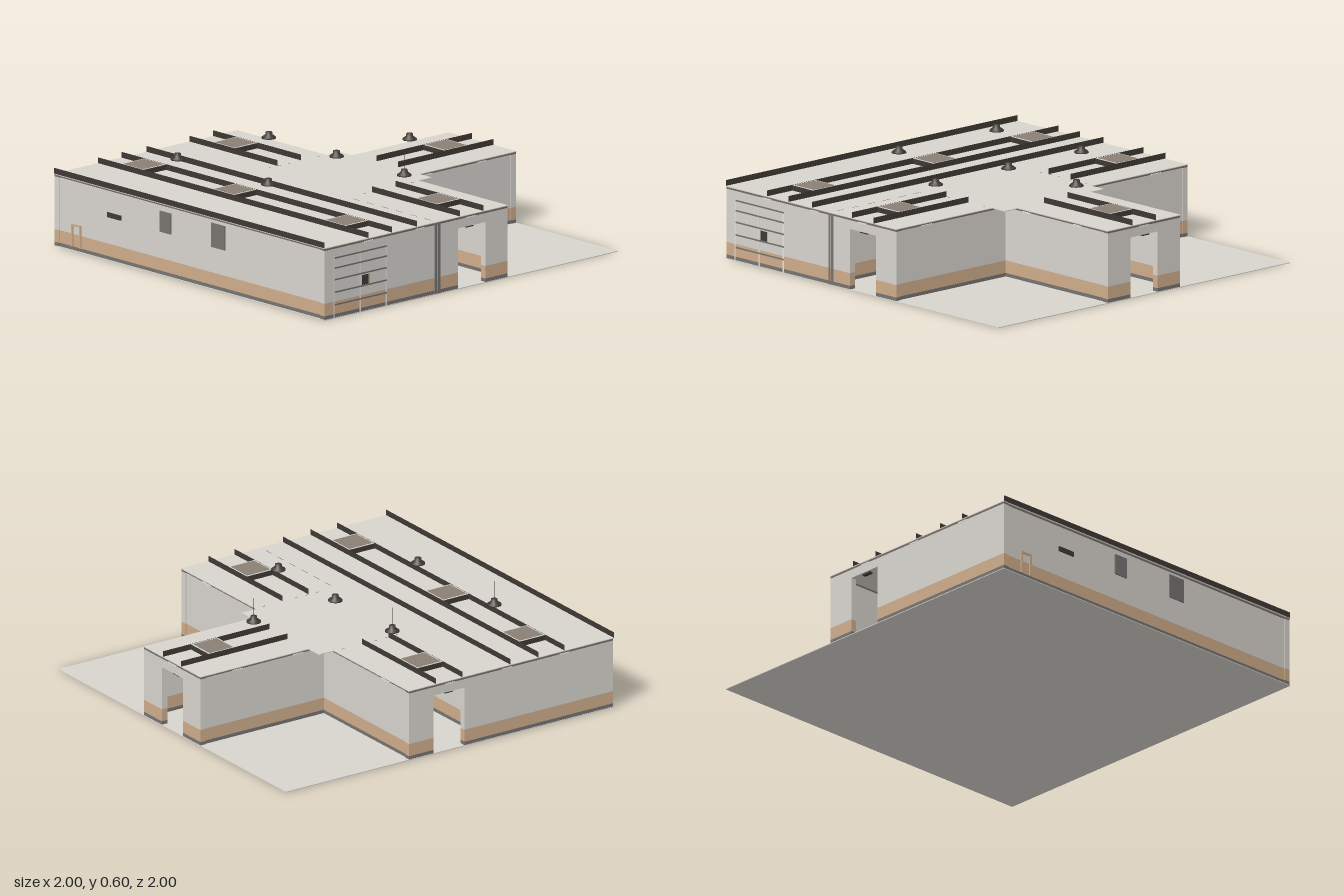
import * as THREE from 'three';

export function createModel() {
  const root = new THREE.Group();
  const mat = (name, color, side = THREE.FrontSide) => {
    const m = new THREE.MeshStandardMaterial({ color, side });
    m.name = name;
    return m;
  };
  const plaster = mat('plaster', 0xd7d4ce);
  const tan = mat('tan band', 0xcfac8b);
  const skirting = mat('skirting grey', 0x777471);
  const trim = mat('trim brown', 0x786b66);
  const dark = mat('dark metal', 0x403934, THREE.DoubleSide);
  const glass = mat('skylight brown', 0x8a7f75);
  const light = mat('light metal', 0xece9e5);

  const add = (name, geo, material, x = 0, y = 0, z = 0, parent = root) => {
    const m = new THREE.Mesh(geo, material);
    m.name = name;
    m.position.set(x, y, z);
    parent.add(m);
    return m;
  };
  // Box given by its two opposite corners
  const box = (name, material, x0, x1, y0, y1, z0, z1, parent = root) =>
    add(name, new THREE.BoxGeometry(x1 - x0, y1 - y0, z1 - z0), material,
      (x0 + x1) / 2, (y0 + y1) / 2, (z0 + z1) / 2, parent);

  const FLOOR = 0.004, TOP = 0.375, DOOR = 0.315, T = 0.035, E = 0.002, STEP = 0.007;

  // Floor slab
  box('floor', plaster, -1, 1, 0, FLOOR, -1, 1);

  // Ceiling with a small step where the wings meet
  const half = [[-1, 1], [0.25, 1], [0.25, 0.34], [0.34, 0.34], [0.34, 0.25], [1, 0.25]];
  const outline = [...half, ...half.map(([x, z]) => [x, -z]).reverse()];
  const ceilingShape = new THREE.Shape(outline.map(([x, z]) => new THREE.Vector2(x, z)));
  const ceilingGeo = new THREE.ExtrudeGeometry(ceilingShape, { depth: 0.004, bevelEnabled: false });
  ceilingGeo.rotateX(-Math.PI / 2);
  add('ceiling', ceilingGeo, plaster, 0, TOP - 0.004, 0);

  // Walls in horizontal bands, split around an optional doorway
  const bands = [
    ['skirting', FLOOR, 0.022, skirting], ['colourBand', 0.022, 0.087, tan],
    ['wallFace', 0.087, 0.361, plaster], ['topTrim', 0.361, TOP - 0.004, trim],
  ];
  const wall = (name, axis, a, b, c0, c1, door) => {
    const g = new THREE.Group();
    g.name = name;
    root.add(g);
    const piece = (label, m, s, e, y0, y1) => (axis === 'x'
      ? box(label, m, s, e, y0, y1, c0, c1, g)
      : box(label, m, c0, c1, y0, y1, s, e, g));
    const spans = door ? [[a, door[0]], [door[1], b]] : [[a, b]];
    for (const [label, y0, y1, m] of bands) {
      for (const [s, e] of spans) piece(label, m, s, e, y0, y1);
    }
    if (door) {
      piece('lintel', plaster, door[0], door[1], DOOR, 0.361);
      piece('lintelTrim', trim, door[0], door[1], 0.361, TOP - 0.004);
    }
  };
  wall('frontWall', 'x', -1 + E, 0.25 - E, 1 - T, 1 - E, [-0.09, 0.098]);
  wall('backWall', 'x', -1 + E, 0.25 - E, -1 + E, -1 + T, [-0.09, 0.098]);
  wall('sideWall', 'z', -1 + T, 1 - T, -1 + STEP, -1 + T);
  wall('wingEndWall', 'z', -0.25 + E, 0.25 - E, 1 - T, 1 - E, [-0.092, 0.092]);
  for (const s of [-1, 1]) {
    const c = (u, v) => (s > 0 ? [u, v] : [-v, -u]);
    wall('innerSideWall', 'z', ...c(0.25 - T, 1 - T), 0.25 - T, 0.25 - STEP);
    wall('wingSideWall', 'x', 0.25 - STEP, 1 - T, ...c(0.25 - T, 0.25 - STEP));
    wall('partition', 'z', ...c(0.34, 1 - T), -0.245, -0.225);
  }
  box('plainPartition', plaster, -0.245, -0.225, FLOOR, TOP - 0.004, -0.34, 0.34);

  // Seams showing on the ceiling: a broken line above the partition and short marks at the crossing
  for (let i = 0; i < 6; i++) {
    const z = 0.38 + i * 0.105;
    box('roofSeam', skirting, -0.236, -0.233, TOP - 0.002, TOP + 0.0008, z, z + 0.05);
  }
  for (const s of [-1, 1]) {
    for (const x of [-0.13, -0.065, 0, 0.2]) {
      box('roofMark', skirting, x - 0.008, x + 0.008, TOP - 0.002, TOP + 0.0008, s * 0.348 - 0.002, s * 0.348 + 0.002);
    }
  }

  // Slim light fittings along the top trim
  for (const s of [-1, 1]) {
    for (const [x, z] of [[-0.7, 0.996], [-0.35, 0.996], [0, 0.996], [0.4, 0.242], [0.77, 0.242]]) {
      box('trimLight', light, x - 0.03, x + 0.03, 0.358, 0.364, s * z - 0.004, s * z + 0.004);
    }
    box('trimLight', light, 0.238, 0.246, 0.358, 0.364, s * 0.785 - 0.035, s * 0.785 + 0.035);
  }
  box('trimLight', light, 0.992, 1, 0.358, 0.364, -0.035, 0.035);

  // Small door closers under the lintels
  for (const s of [-1, 1]) box('doorCloser', dark, -0.025, 0.025, 0.306, DOOR, s * 0.98 - 0.01, s * 0.98 + 0.01);
  box('doorCloser', dark, 0.97, 0.99, 0.306, DOOR, -0.045, 0.005);

  // Upright roof rails: thin sheets running along z or x
  const rail = (axis, a, b, c) => {
    const m = add('roofRail', new THREE.PlaneGeometry(b - a, 0.03), dark);
    if (axis === 'z') {
      m.rotation.y = Math.PI / 2;
      m.position.set(c, TOP + 0.015, (a + b) / 2);
    } else m.position.set((a + b) / 2, TOP + 0.015, c);
  };
  for (const x of [-1, -0.7, -0.54, -0.37]) rail('z', -1, 1, x);
  for (const s of [-0.08, 0.08]) {
    rail('z', 0.35, 1, s + 0.004);
    rail('z', -1, -0.35, s + 0.004);
    rail('x', 0.35, 1, s);
  }

  // Raised skylights: dark curb, pale rim and brown pane
  const skylights = [[-0.62, -0.75], [0.004, -0.75], [-0.62, -0.08], [0.75, 0], [-0.62, 0.745], [0.004, 0.745]];
  for (const [x, z] of skylights) {
    const slab = (name, m, r, y0, y1) => box(name, m, x - r, x + r, y0, y1, z - r, z + r);
    slab('skylightCurb', dark, 0.079, TOP, 0.402);
    slab('skylightRim', plaster, 0.079, 0.402, 0.404);
    slab('skylightPane', glass, 0.071, 0.404, 0.405);
  }

  // Hanging lamps with hair-thin wires
  const lampGeo = new THREE.LatheGeometry(
    [[0, 0.478], [0.037, 0.476], [0.036, 0.482], [0.018, 0.495], [0.017, 0.508], [0, 0.511]]
      .map(([r, y]) => new THREE.Vector2(r, y)), 16);
  const wireGeo = new THREE.CylinderGeometry(0.0005, 0.0005, 0.095, 4);
  for (const [x, z] of [[-0.618, -0.5], [0.004, -0.5], [0.004, 0], [0.502, 0], [-0.618, 0.17], [0.004, 0.5]]) {
    add('lamp', lampGeo, dark, x, 0, z);
    add('lampWire', wireGeo, dark, x, 0.557, z);
  }

  // Storage shelving on the front
  for (const y of [0.07, 0.135, 0.2, 0.26, 0.312]) {
    box('shelf', skirting, -0.93, -0.575, y - 0.004, y + 0.004, 0.99, 0.9995);
  }
  for (const x of [-0.935, -0.757, -0.58]) {
    box('shelfPost', light, x - 0.004, x + 0.004, FLOOR, 0.32, 0.99, 0.999);
  }
  box('shelfBox', dark, -0.745, -0.7, 0.14, 0.19, 0.98, 1);
  box('shelfBoxSide', tan, -0.7, -0.692, 0.14, 0.19, 0.98, 1);

  // Vertical pipes at the partition end
  for (const x of [-0.241, -0.22]) {
    box('pipe', skirting, x - 0.008, x + 0.008, FLOOR, 0.368, 0.985, 1);
  }

  // Fittings showing on the long side wall
  const fitting = (name, m, y0, y1, z0, z1) => box(name, m, -0.9995, -0.98, y0, y1, z0, z1);
  fitting('wallPanel', skirting, 0.225, 0.333, -0.22, -0.14);
  fitting('wallPanel', skirting, 0.22, 0.345, 0.16, 0.26);
  fitting('wallBox', dark, 0.225, 0.25, -0.61, -0.51);
  for (const z of [-0.87, -0.81]) fitting('smallPost', tan, 0.022, 0.14, z - 0.006, z + 0.006);
  fitting('smallCrossbar', tan, 0.13, 0.14, -0.864, -0.816);

  return root;
}
